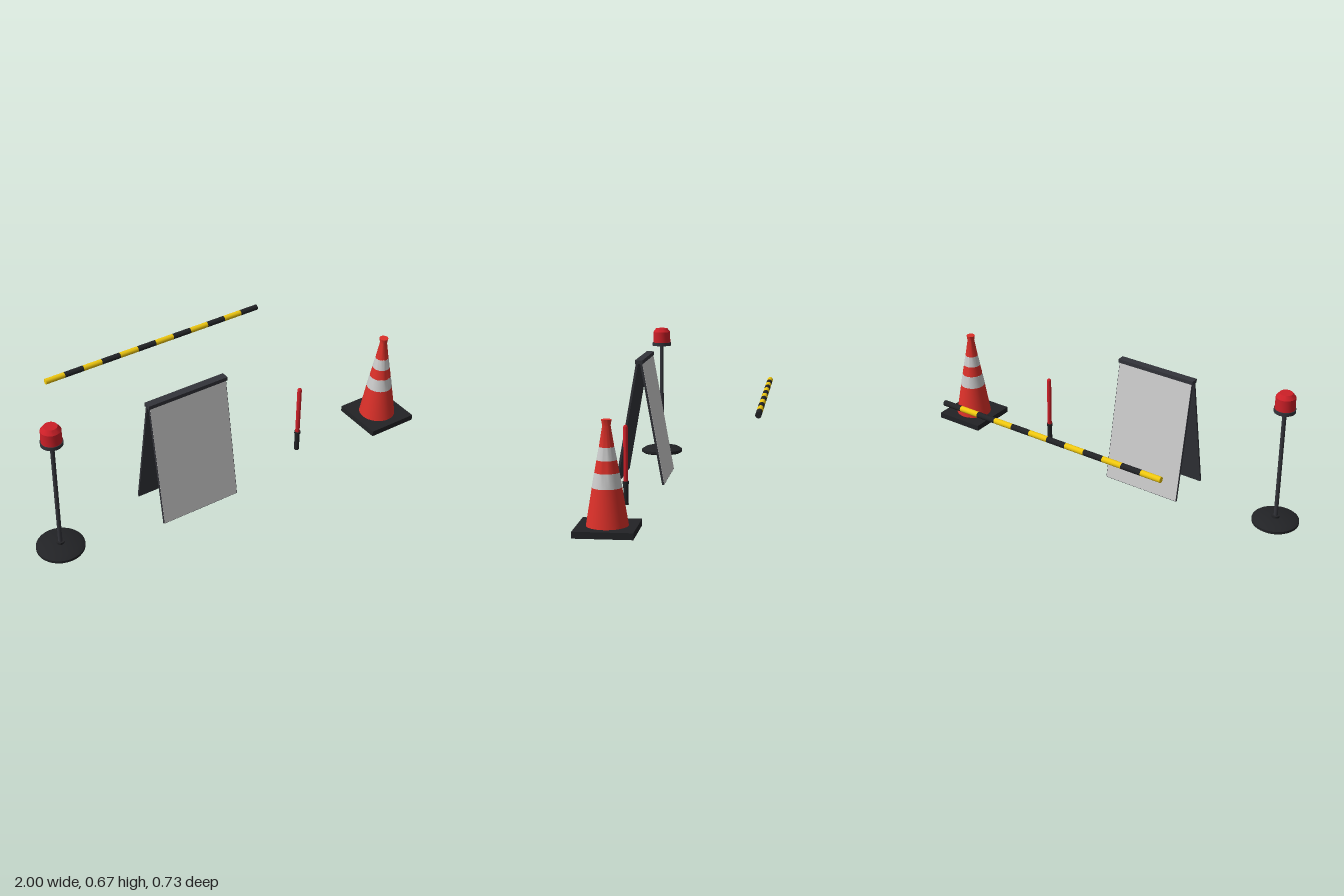
import * as THREE from 'three';
import { toCreasedNormals } from 'three/addons/utils/BufferGeometryUtils.js';

const mat = (color) => new THREE.MeshStandardMaterial({ color });

export function createModel() {
  const black = mat(0x222326), slate = mat(0x33343a), grey = mat(0xcccccc);
  const lampRed = mat(0xcc1f27), orangeRed = mat(0xdb3029), yellow = mat(0xf0c80f), white = mat(0xd8d8d8);
  const model = new THREE.Group();
  const rowZ = 0.24; // the standing items share one row

  const group = (name, x, z) => {
    const g = new THREE.Group();
    g.name = name;
    g.position.set(x, 0, z);
    model.add(g);
    return g;
  };
  const add = (parent, name, geometry, material, x = 0, y = 0, z = 0) => {
    const m = new THREE.Mesh(geometry, material);
    m.name = name;
    m.position.set(x, y, z);
    parent.add(m);
    return m;
  };
  // Turned part from [radius, height] pairs, bottom to top
  const lathe = (points, segments = 32) => toCreasedNormals(
    new THREE.LatheGeometry(points.map(([r, y]) => new THREE.Vector2(r, y)), segments), 0.6);

  // Warning lamp on a weighted pole
  const lamp = group('warningLamp', -0.892, rowZ);
  add(lamp, 'lampFoot', lathe([[0, 0], [0.1, 0], [0.108, 0.006], [0.108, 0.018], [0.088, 0.03], [0, 0.03]]), black);
  add(lamp, 'poleSocket', lathe([[0.018, 0.028], [0.018, 0.04], [0, 0.04]], 20), black);
  add(lamp, 'lampPole', new THREE.CylinderGeometry(0.0095, 0.0095, 0.55, 16), slate, 0, 0.305);
  add(lamp, 'lampCollar', new THREE.CylinderGeometry(0.0485, 0.0485, 0.017, 32), slate, 0, 0.5855);
  add(lamp, 'lampDome', lathe([[0.0456, 0.594], [0.0445, 0.65], [0.03, 0.669], [0, 0.669]], 24), lampRed);

  // Folding A-frame sign
  const sign = group('foldingSign', -0.237, rowZ);
  const footZ = 0.112, topZ = 0.0095, boardTop = 0.578;
  const lean = Math.atan2(footZ - topZ, boardTop);
  const boardLength = Math.hypot(footZ - topZ, boardTop);
  for (const side of [1, -1]) {
    const panel = new THREE.Group();
    panel.name = side > 0 ? 'frontPanel' : 'backPanel';
    panel.position.set(0, boardTop / 2 + 0.001, side * (footZ + topZ) / 2);
    panel.rotation.x = -side * lean;
    sign.add(panel);
    add(panel, 'board', new THREE.BoxGeometry(0.392, boardLength, 0.01), slate);
    add(panel, 'boardFace', new THREE.BoxGeometry(0.388, boardLength - 0.004, 0.001), grey, 0, 0, side * 0.0055);
  }
  add(sign, 'ridgeCap', new THREE.BoxGeometry(0.402, 0.018, 0.036), slate, 0, 0.585);

  // Light wand standing on its handle
  const wand = group('lightWand', 0.383, rowZ);
  add(wand, 'wandHandle', new THREE.CylinderGeometry(0.012, 0.012, 0.096, 20), black, 0, 0.048);
  add(wand, 'wandCollar', new THREE.CylinderGeometry(0.0145, 0.0145, 0.012, 20), black, 0, 0.1);
  add(wand, 'wandTube', lathe([[0.0105, 0.104], [0.0105, 0.347], [0.009, 0.353], [0.005, 0.357], [0, 0.358]], 20), lampRed);

  // Traffic cone, built from coloured sections of one profile
  const cone = group('trafficCone', 0.875, rowZ);
  add(cone, 'coneBase', new THREE.BoxGeometry(0.248, 0.028, 0.248), black, 0, 0.014);
  const sections = [
    ['coneLower', orangeRed, [[0.087, 0.028], [0.061, 0.185]]],
    ['lowerBand', white, [[0.0615, 0.185], [0.051, 0.246]]],
    ['coneMiddle', orangeRed, [[0.0505, 0.246], [0.041, 0.297]]],
    ['upperBand', white, [[0.0415, 0.297], [0.0315, 0.35]]],
    ['coneTip', orangeRed, [[0.031, 0.35], [0.017, 0.435], [0.021, 0.46], [0, 0.46]]],
  ];
  for (const [name, material, points] of sections) add(cone, name, lathe(points), material);

  // Striped barrier bar
  const bar = group('barrierBar', -0.0435, -0.349);
  const stripes = 12, stripe = 1.176 / stripes;
  for (let i = 0; i < stripes; i++) {
    const g = new THREE.CylinderGeometry(0.0136, 0.0136, stripe, 20).rotateZ(Math.PI / 2);
    add(bar, i % 2 ? 'blackStripe' : 'yellowStripe', g, i % 2 ? black : yellow, (i + 0.5 - stripes / 2) * stripe, 0.435);
  }
  return model;
}
